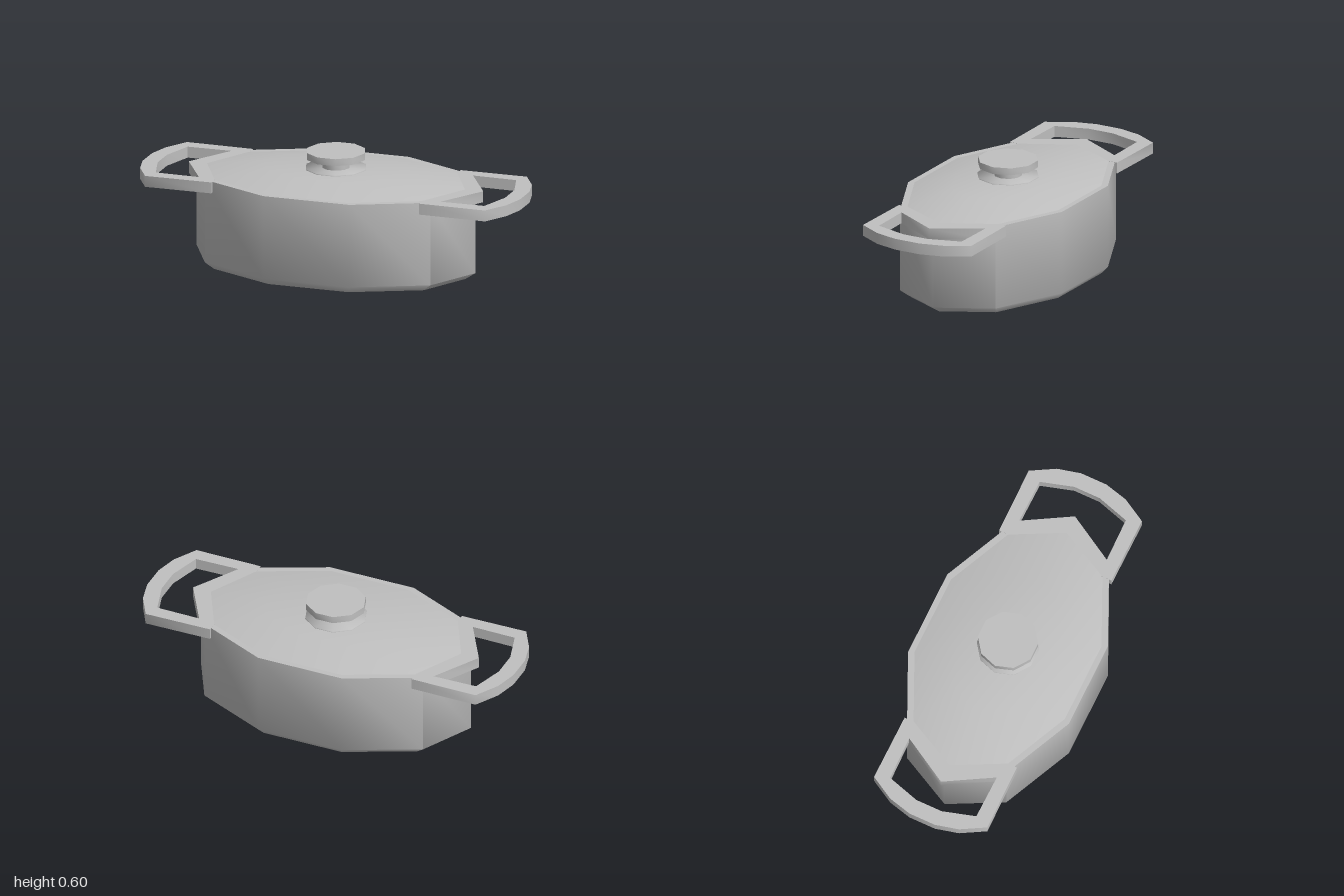
import * as THREE from 'three';
import { toCreasedNormals } from 'three/addons/utils/BufferGeometryUtils.js';

const SIDES = 10;

export function createModel() {
  const group = new THREE.Group();
  const castGrey = new THREE.MeshStandardMaterial({ color: 0xc0c0c0 });

  const add = (name, geometry, crease) => {
    const mesh = new THREE.Mesh(toCreasedNormals(geometry, crease), castGrey);
    mesh.name = name;
    group.add(mesh);
  };

  // Ten-sided lathe with a corner on +x, stretched to an oval of half-sizes rx, rz
  const lathe = (profile, rx, rz) =>
    new THREE.LatheGeometry(profile.map(([r, y]) => new THREE.Vector2(r, y)), SIDES, Math.PI / 2)
      .scale(rx, 1, rz);

  // Oval pot: smooth wall with a bevelled foot, flat rim and flat base
  add('potBody', lathe([[0.93, 0], [1, 0.035], [1, 0.465], [0, 0.465]], 0.738, 0.467), 1.05);
  add('potBase', lathe([[0, 0], [0.93, 0]], 0.738, 0.467), 0.7);

  // Shallow domed lid
  add('lid', lathe([[0.935, 0.465], [0.52, 0.51], [0, 0.512]], 0.738, 0.467), 0.72);

  // Knob: base ring, stem and flat cap
  add('knobBase', lathe([[0.157, 0.508], [0.157, 0.516], [0, 0.516]], 1, 1), 1.7);
  add('knobStem', lathe([[0.071, 0.51], [0.071, 0.57]], 1, 1), 0.72);
  add('knobCap', lathe([[0, 0.564], [0.152, 0.564], [0.152, 0.6], [0, 0.6]], 1, 1), 0.72);

  // Flat loop handles, with a pointed collar that follows the end of the pot
  const outer = [[0.55, 0.31], [0.9, 0.313], [0.97, 0.19], [1, 0.07]];
  const inner = [[0.64, 0.242], [0.87, 0.238], [0.92, 0.07]];
  const mirrored = (pts) => [...pts, ...pts.map(([x, z]) => [x, -z]).reverse()]
    .map(([x, z]) => new THREE.Vector2(x, z));
  const plate = new THREE.Shape(mirrored(outer));
  // The opening runs the other way round so that its walls face inwards
  plate.holes.push(new THREE.Path([...mirrored(inner), new THREE.Vector2(0.78, 0)].reverse()));
  for (const [name, turn] of [['leftHandle', 0], ['rightHandle', Math.PI]]) {
    const geometry = new THREE.ExtrudeGeometry(plate, { depth: 0.057, bevelEnabled: false })
      .rotateX(-Math.PI / 2)
      .rotateY(turn)
      .translate(0, 0.409, 0);
    add(name, geometry, 1.1);
  }

  return group;
}
